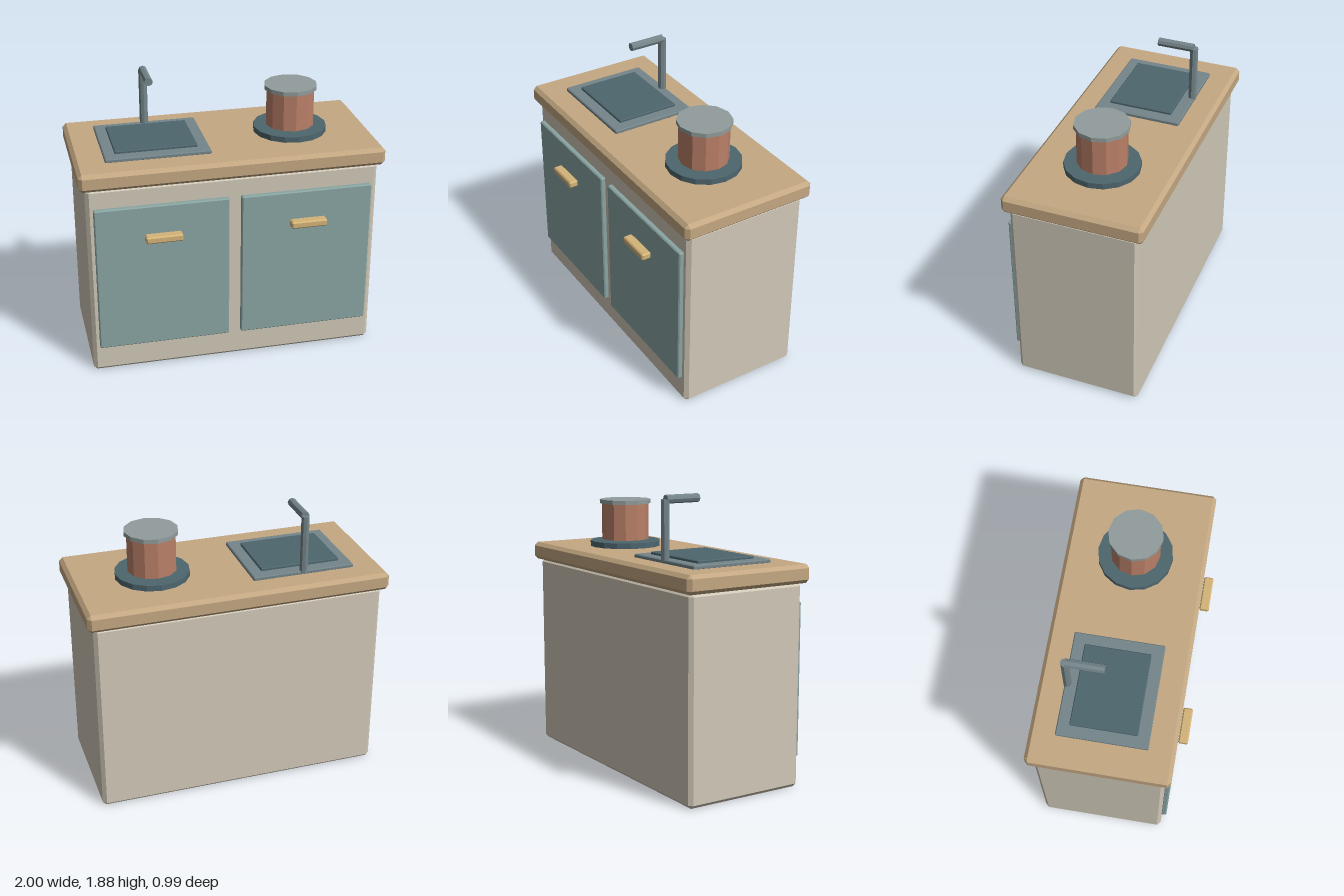
import * as THREE from 'three';
import { ConvexGeometry } from 'three/addons/geometries/ConvexGeometry.js';

const mat = (color) => new THREE.MeshStandardMaterial({ color, flatShading: true });
const cream = mat(0xd0c8b8), wood = mat(0xc4a882), teal = mat(0x8aa5a3), brass = mat(0xd4b478);
const steel = mat(0x74858a), dark = mat(0x4e666e), copper = mat(0xba8068), pale = mat(0x929c9c);

// Box with every edge chamfered by c, given as [min, max] along each axis
function chamferBox(name, [x0, x1], [y0, y1], [z0, z1], c, material) {
  const half = [(x1 - x0) / 2, (y1 - y0) / 2, (z1 - z0) / 2];
  const points = [];
  for (const sx of [-1, 1]) for (const sy of [-1, 1]) for (const sz of [-1, 1]) {
    for (let axis = 0; axis < 3; axis++) {
      const p = half.map((h, i) => (i === axis ? h : h - c));
      points.push(new THREE.Vector3(sx * p[0], sy * p[1], sz * p[2]));
    }
  }
  const mesh = new THREE.Mesh(new ConvexGeometry(points), material);
  mesh.position.set((x0 + x1) / 2, (y0 + y1) / 2, (z0 + z1) / 2);
  mesh.name = name;
  return mesh;
}

// Upright faceted cylinder between two heights
function drum(name, r, y0, y1, sides, x, z, material) {
  const mesh = new THREE.Mesh(new THREE.CylinderGeometry(r, r, y1 - y0, sides), material);
  mesh.position.set(x, (y0 + y1) / 2, z);
  mesh.name = name;
  return mesh;
}

export function createModel() {
  const model = new THREE.Group();
  model.name = 'kitchenCounter';

  // Cabinet and worktop
  model.add(
    chamferBox('cabinet', [-0.96, 0.96], [0, 1.335], [-0.453, 0.39], 0.024, cream),
    chamferBox('worktop', [-1, 1], [1.33, 1.45], [-0.493, 0.428], 0.024, wood),
  );

  // Doors with bar handles
  for (const [side, x] of [['right', -0.478], ['left', 0.478]]) {
    model.add(
      chamferBox(side + 'Door', [x - 0.437, x + 0.437], [0.19, 1.2], [0.385, 0.423], 0.007, teal),
      chamferBox(side + 'Handle', [x - 0.12, x + 0.12], [0.966, 1.014], [0.428, 0.493], 0.009, brass),
    );
  }

  // Sink
  model.add(
    chamferBox('sinkRim', [-0.808, -0.12], [1.445, 1.473], [-0.328, 0.257], 0.006, steel),
    chamferBox('sinkBasin', [-0.735, -0.197], [1.455, 1.49], [-0.25, 0.18], 0.005, dark),
  );

  // Tap: upright pipe and spout
  const tap = new THREE.Group();
  tap.name = 'tap';
  const spout = drum('spout', 0.028, 0, 0.243, 8, 0, 0, steel);
  spout.rotation.x = Math.PI / 2;
  spout.position.set(-0.465, 1.848, -0.187);
  tap.add(drum('tapPipe', 0.028, 1.46, 1.848, 8, -0.465, -0.311, steel), spout);
  model.add(tap);

  // Hob and lidded pot
  model.add(
    drum('hob', 0.245, 1.45, 1.488, 16, 0.475, -0.035, dark),
    drum('pot', 0.162, 1.496, 1.747, 12, 0.475, -0.035, copper),
    drum('potLid', 0.177, 1.745, 1.773, 12, 0.475, -0.035, pale),
  );
  return model;
}
